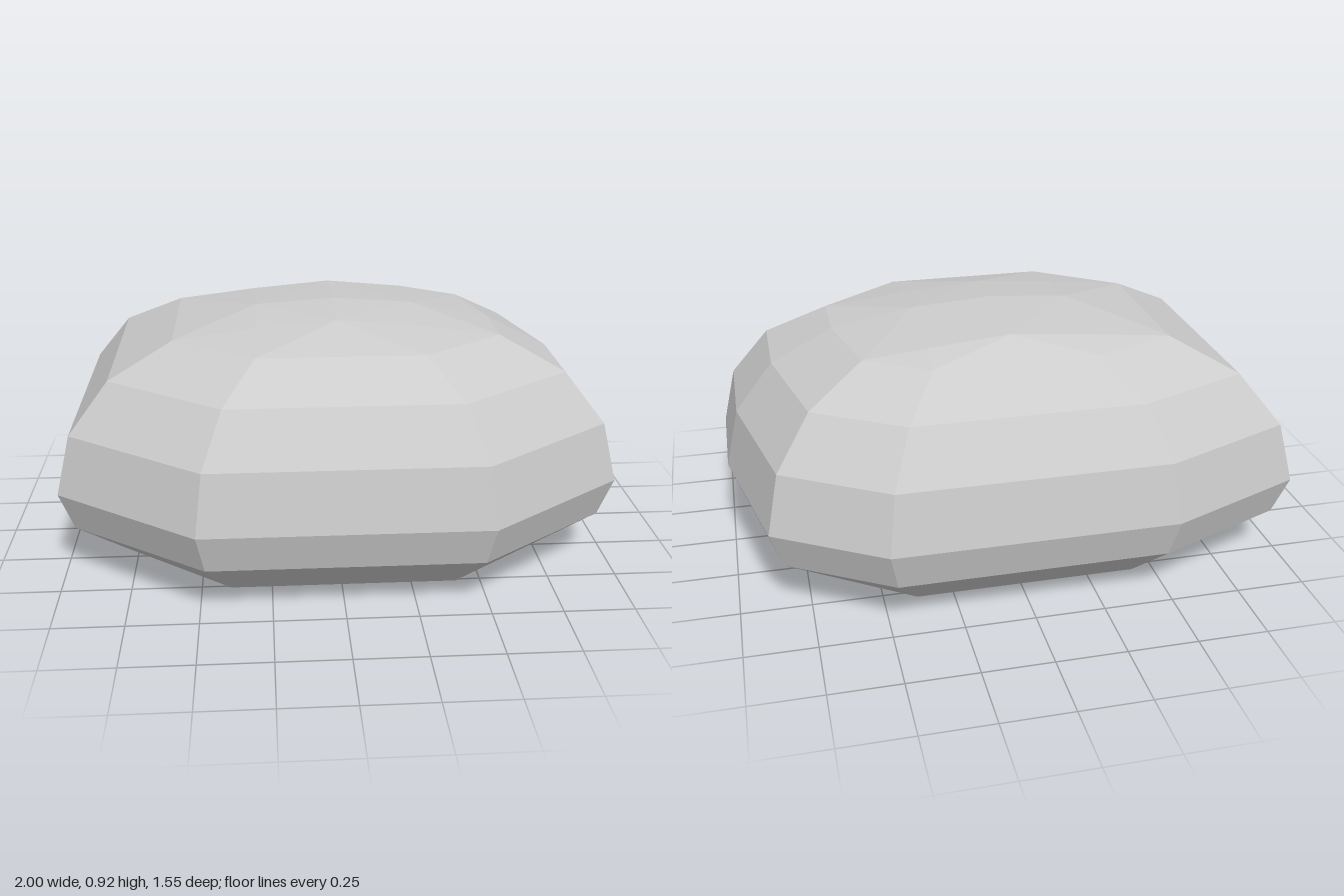
import * as THREE from 'three';
import { ConvexGeometry } from 'three/addons/geometries/ConvexGeometry.js';

// Widest outline of the stone (x, z)
const OUTLINE = [
  [-1, -0.575], [-0.5, -0.78], [0.5, -0.78], [0.88, -0.55], [1, 0],
  [1, 0.4], [0.5, 0.775], [-0.5, 0.775], [-1, 0.4],
];

// Stacked rings: height and scale of the outline
const RINGS = [[0.19, 0.95], [0.33, 1], [0.545, 0.95], [0.725, 0.81], [0.84, 0.585]];

// Rows of the shallow crown: z, height at x = 0, height at x = +-0.29
const CROWN = [[0.22, 0.9, 0.877], [-0.01, 0.92, 0.9], [-0.345, 0.9, 0.874]];

export function createModel() {
  const points = [];
  const add = (x, y, z) => points.push(new THREE.Vector3(x, y, z));

  // Faceted flanks
  for (const [y, s] of RINGS) {
    for (const [x, z] of OUTLINE) add(x * s, y, z * s);
  }

  // Lower rim, a little higher at the side corners, and the keel it rests on
  for (const [x, z] of OUTLINE) {
    const corner = Math.abs(x) > 0.6 && z !== 0;
    add(x * 0.785, corner ? 0.07 : 0.055, z * 0.785);
  }
  add(-0.785, 0.055, 0);
  add(-0.4, 0, 0);
  add(0.4, 0, 0);

  // Crown
  for (const [z, middle, side] of CROWN) {
    add(0, middle, z);
    add(-0.29, side, z);
    add(0.29, side, z);
  }

  const stone = new THREE.Mesh(
    new ConvexGeometry(points),
    new THREE.MeshStandardMaterial({ color: 0xcccccc, flatShading: true }),
  );
  stone.name = 'stone';

  const group = new THREE.Group();
  group.name = 'rock';
  group.add(stone);
  return group;
}
